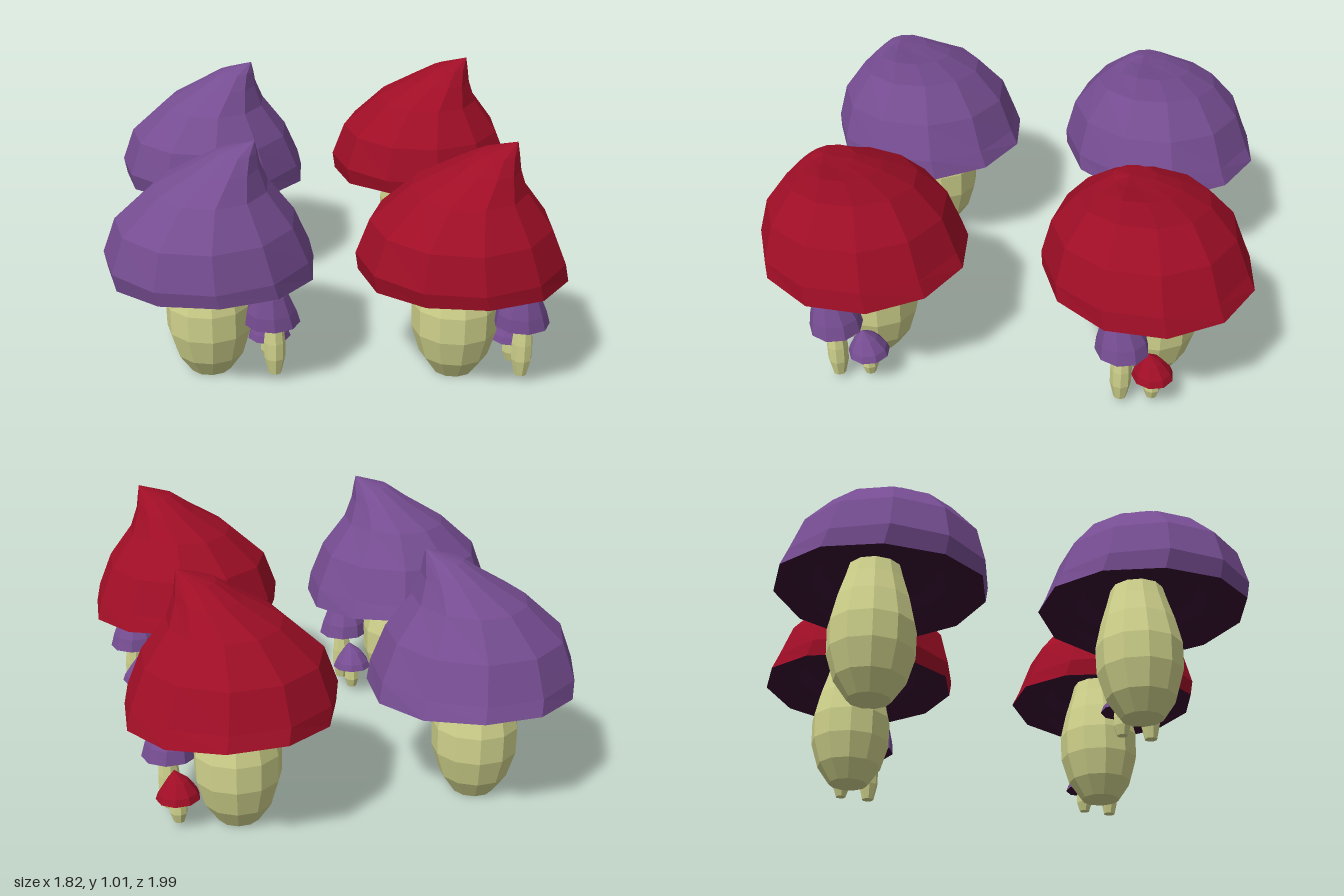
import * as THREE from 'three';

const mat = (color) => new THREE.MeshStandardMaterial({ color, flatShading: true, side: THREE.DoubleSide });
const PURPLE = mat(0x764d92), RED = mat(0xa00e26), GILL = mat(0x35082f), STEM = mat(0xd0d38c);

// Lofts rings [y, centreX, centreZ, radiusX, radiusZ, dip], listed so the outside faces outward.
// dip lowers a ring on its left and right.
function loft(name, rings, sides, material) {
  const pos = [], idx = [];
  rings.forEach(([y, cx, cz, rx, rz, dip = 0]) => {
    for (let i = 0; i < sides; i++) {
      const a = 1.5 + (i / sides) * Math.PI * 2;
      pos.push(cx + rx * Math.cos(a), y - dip * Math.cos(a) ** 2, cz + rz * Math.sin(a));
    }
  });
  for (let j = 0; j < rings.length - 1; j++) {
    for (let i = 0; i < sides; i++) {
      const n = (i + 1) % sides, a = j * sides, b = a + sides;
      idx.push(a + i, b + i, b + n, a + i, b + n, a + n);
    }
  }
  const g = new THREE.BufferGeometry();
  g.setAttribute('position', new THREE.Float32BufferAttribute(pos, 3));
  g.setIndex(idx);
  g.computeVertexNormals();
  const mesh = new THREE.Mesh(g, material);
  mesh.name = name;
  return mesh;
}

// Round upright stem from [radius, y] points
function stem(name, profile, sides) {
  return loft(name, profile.map(([r, y]) => [y, 0, 0, r, r]), sides, STEM);
}

function bigMushroom(material) {
  const g = new THREE.Group();
  g.name = 'bigMushroom';
  const rim = [0.48, 0.02, 0.028, 0.415, 0.423, 0.025];
  g.add(stem('stem', [[0, 0], [0.085, 0], [0.14, 0.08], [0.173, 0.19], [0.175, 0.3], [0.15, 0.41], [0.122, 0.5], [0.1, 0.58]], 11));
  // Cap leaning towards its tip
  g.add(loft('cap', [
    rim,
    [0.535, 0.005, 0.045, 0.412, 0.412],
    [0.68, 0, 0.055, 0.355, 0.365],
    [0.82, 0.025, 0.06, 0.225, 0.26],
    [0.91, 0.085, 0.08, 0.13, 0.165],
    [0.97, 0.125, 0.1, 0.08, 0.085],
    [1.015, 0.195, 0.115, 0, 0],
  ], 11, material));
  // Hollow underside stepping up to the stem
  g.add(loft('gills', [
    [0.56, 0, 0, 0.09, 0.09],
    [0.55, 0.01, 0.02, 0.23, 0.23],
    [0.505, 0.01, 0.02, 0.27, 0.27],
    [0.51, 0.015, 0.025, 0.35, 0.355],
    rim,
  ], 11, GILL));
  return g;
}

function tallSprout() {
  const g = new THREE.Group();
  g.name = 'tallSprout';
  const rim = [0.25, -0.008, 0, 0.112, 0.108];
  g.add(stem('sproutStem', [[0, 0.02], [0.026, 0.02], [0.042, 0.09], [0.043, 0.16], [0.034, 0.25], [0.028, 0.29]], 8));
  g.add(loft('sproutCap', [
    rim,
    [0.305, -0.012, 0.004, 0.1, 0.099],
    [0.38, -0.012, 0.016, 0.068, 0.07],
    [0.425, -0.012, 0.026, 0.036, 0.036],
    [0.462, -0.02, 0.036, 0, 0],
  ], 9, PURPLE));
  g.add(loft('sproutGills', [[0.28, 0, 0, 0.02, 0.02], [0.27, 0, 0, 0.08, 0.08], rim], 9, GILL));
  return g;
}

function shortSprout(material) {
  const g = new THREE.Group();
  g.name = 'shortSprout';
  const rim = [0.123, 0, 0, 0.088, 0.084];
  g.add(stem('sproutStem', [[0, 0.02], [0.022, 0.02], [0.035, 0.06], [0.034, 0.1], [0.025, 0.15]], 8));
  g.add(loft('sproutCap', [
    rim,
    [0.15, 0, 0.002, 0.078, 0.075],
    [0.195, 0, 0.01, 0.044, 0.045],
    [0.235, 0.01, 0.018, 0, 0],
  ], 9, material));
  g.add(loft('sproutGills', [[0.14, 0, 0, 0.018, 0.018], [0.138, 0, 0, 0.06, 0.06], rim], 9, GILL));
  return g;
}

export function createModel() {
  const model = new THREE.Group();
  model.name = 'mushroomPatch';
  // x, z, cap colour, short sprout colour (if sprouts grow here)
  const clusters = [
    [-0.507, -0.605, PURPLE, null],
    [0.47, -0.605, RED, RED],
    [-0.517, 0.455, PURPLE, PURPLE],
    [0.47, 0.54, RED, PURPLE],
  ];
  for (const [x, z, cap, sprout] of clusters) {
    const cluster = new THREE.Group();
    cluster.name = 'mushroomCluster';
    cluster.add(bigMushroom(cap));
    if (sprout) {
      const tall = tallSprout(), short = shortSprout(sprout);
      tall.position.set(0.258, 0, 0.11);
      short.position.set(0.24, 0, -0.015);
      cluster.add(tall, short);
    }
    cluster.position.set(x, 0, z);
    model.add(cluster);
  }
  return model;
}
